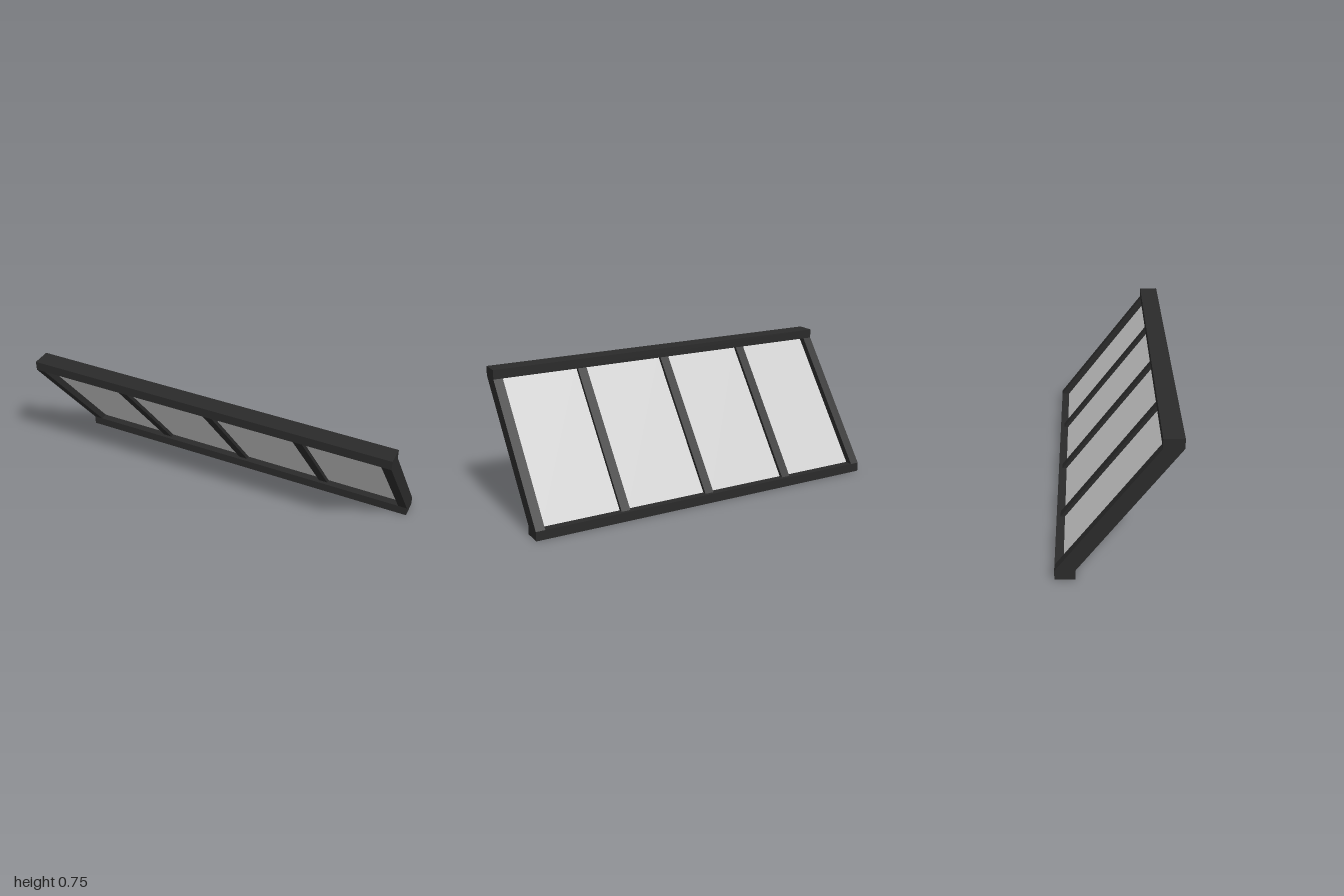
import * as THREE from 'three';

const frameMat = new THREE.MeshStandardMaterial({ color: 0x2a2a2a });
const paneMat = new THREE.MeshStandardMaterial({ color: 0xcccccc });

const LOW = 0.05, HIGH = 0.7, TOP = 0.75; // heights of the rail edges
const REACH = 0.25;                       // z of the rail centres, top forward
const RAIL = 0.1, BAR = 0.05;             // rail depth and bar width

// Slanted slab between the two rails: horizontal depth, extruded along x
function slantedSlab(name, x, width, depth, material) {
  const h = depth / 2;
  const shape = new THREE.Shape([
    new THREE.Vector2(-REACH - h, LOW),
    new THREE.Vector2(-REACH + h, LOW),
    new THREE.Vector2(REACH + h, HIGH),
    new THREE.Vector2(REACH - h, HIGH),
  ]);
  const geometry = new THREE.ExtrudeGeometry(shape, { depth: width, bevelEnabled: false });
  geometry.translate(0, 0, -width / 2).rotateY(-Math.PI / 2);
  const mesh = new THREE.Mesh(geometry, material);
  mesh.name = name;
  mesh.position.x = x;
  return mesh;
}

function rail(name, y, z) {
  const mesh = new THREE.Mesh(new THREE.BoxGeometry(2, TOP - HIGH, RAIL), frameMat);
  mesh.name = name;
  mesh.position.set(0, y, z);
  return mesh;
}

export function createModel() {
  const model = new THREE.Group();
  model.name = 'slantedWindow';

  // Horizontal rails
  model.add(rail('bottomRail', LOW / 2, -REACH));
  model.add(rail('topRail', (HIGH + TOP) / 2, REACH));

  // End bars, full depth
  model.add(slantedSlab('leftBar', 1 - BAR / 2, BAR, RAIL, frameMat));
  model.add(slantedSlab('rightBar', -1 + BAR / 2, BAR, RAIL, frameMat));

  // Thinner dividers
  const dividers = [-0.5, 0, 0.5];
  for (const x of dividers) model.add(slantedSlab('divider', x, BAR, 0.06, frameMat));

  // Panes between the bars
  const centres = [-1 + BAR / 2, ...dividers, 1 - BAR / 2];
  for (let i = 0; i < centres.length - 1; i++) {
    const a = centres[i] + BAR / 2, b = centres[i + 1] - BAR / 2;
    model.add(slantedSlab('pane', (a + b) / 2, b - a, 0.014, paneMat));
  }
  return model;
}
